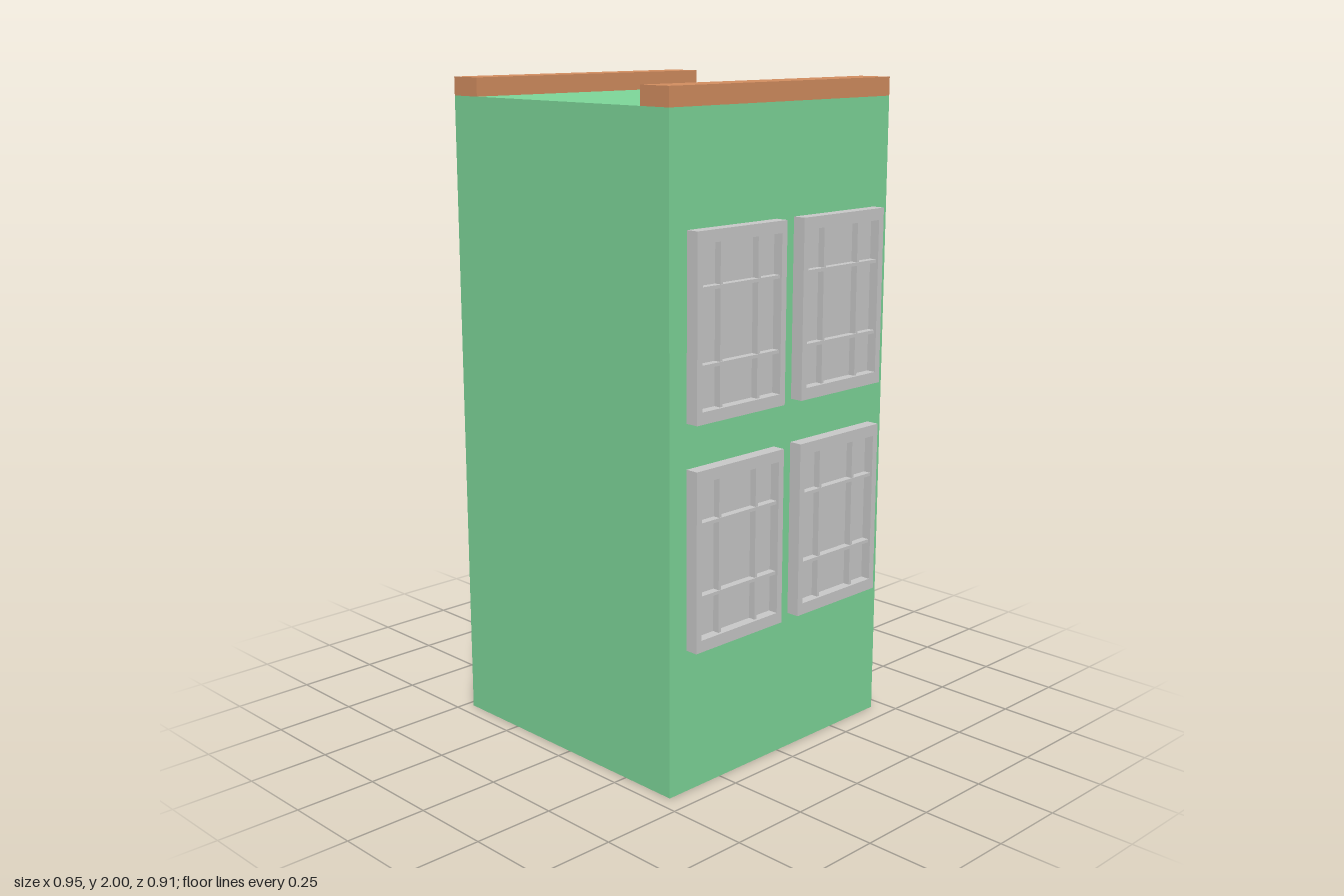
import * as THREE from 'three';

const green = new THREE.MeshStandardMaterial({ color: 0x7fd99b });
const brown = new THREE.MeshStandardMaterial({ color: 0xd58f61 });
const grey = new THREE.MeshStandardMaterial({ color: 0xcccccc });

const WALL = 0.435; // x of the wall that carries the windows

// Box given by its minimum and maximum corners
function box(name, material, [x0, y0, z0], [x1, y1, z1]) {
  const mesh = new THREE.Mesh(new THREE.BoxGeometry(x1 - x0, y1 - y0, z1 - z0), material);
  mesh.position.set((x0 + x1) / 2, (y0 + y1) / 2, (z0 + z1) / 2);
  mesh.name = name;
  return mesh;
}

// Window built flat in XY, then turned to face +x
function createWindow() {
  const win = new THREE.Group();
  const w = 0.178, h = 0.265, ow = 0.157, oh = 0.23;

  // Frame with a rectangular opening
  const shape = new THREE.Shape([[-w, -h], [w, -h], [w, h], [-w, h]].map(p => new THREE.Vector2(...p)));
  shape.holes.push(new THREE.Path([[-ow, -oh], [-ow, oh], [ow, oh], [ow, -oh]].map(p => new THREE.Vector2(...p))));
  const frame = new THREE.Mesh(new THREE.ExtrudeGeometry(shape, { depth: 0.04, bevelEnabled: false }), grey);
  frame.name = 'windowFrame';
  win.add(frame);

  // Recessed pane and glazing bars
  win.add(box('windowPane', grey, [-ow, -oh, 0], [ow, oh, 0.01]));
  for (const s of [-1, 1]) {
    const x = s * 0.075, y = s * 0.107, t = 0.005;
    win.add(box('verticalBar', grey, [x - t, -oh, 0.01], [x + t, oh, 0.031]));
    win.add(box('horizontalBar', grey, [-ow, y - t, 0.01], [ow, y + t, 0.033]));
  }
  win.rotation.y = Math.PI / 2;
  return win;
}

export function createModel() {
  const model = new THREE.Group();
  model.name = 'building';

  // Main block
  model.add(box('walls', green, [-0.475, 0, -0.455], [WALL, 1.945, 0.455]));

  // Parapets along the two side edges of the roof
  model.add(box('rightParapet', brown, [-0.475, 1.945, -0.455], [-0.369, 2, 0.455]));
  model.add(box('leftParapet', brown, [0.326, 1.945, -0.455], [WALL, 2, 0.455]));

  // Two by two windows
  for (const y of [0.697, 1.357]) {
    for (const z of [-0.217, 0.211]) {
      const win = createWindow();
      win.name = 'window';
      win.position.set(WALL, y, z);
      model.add(win);
    }
  }
  return model;
}
